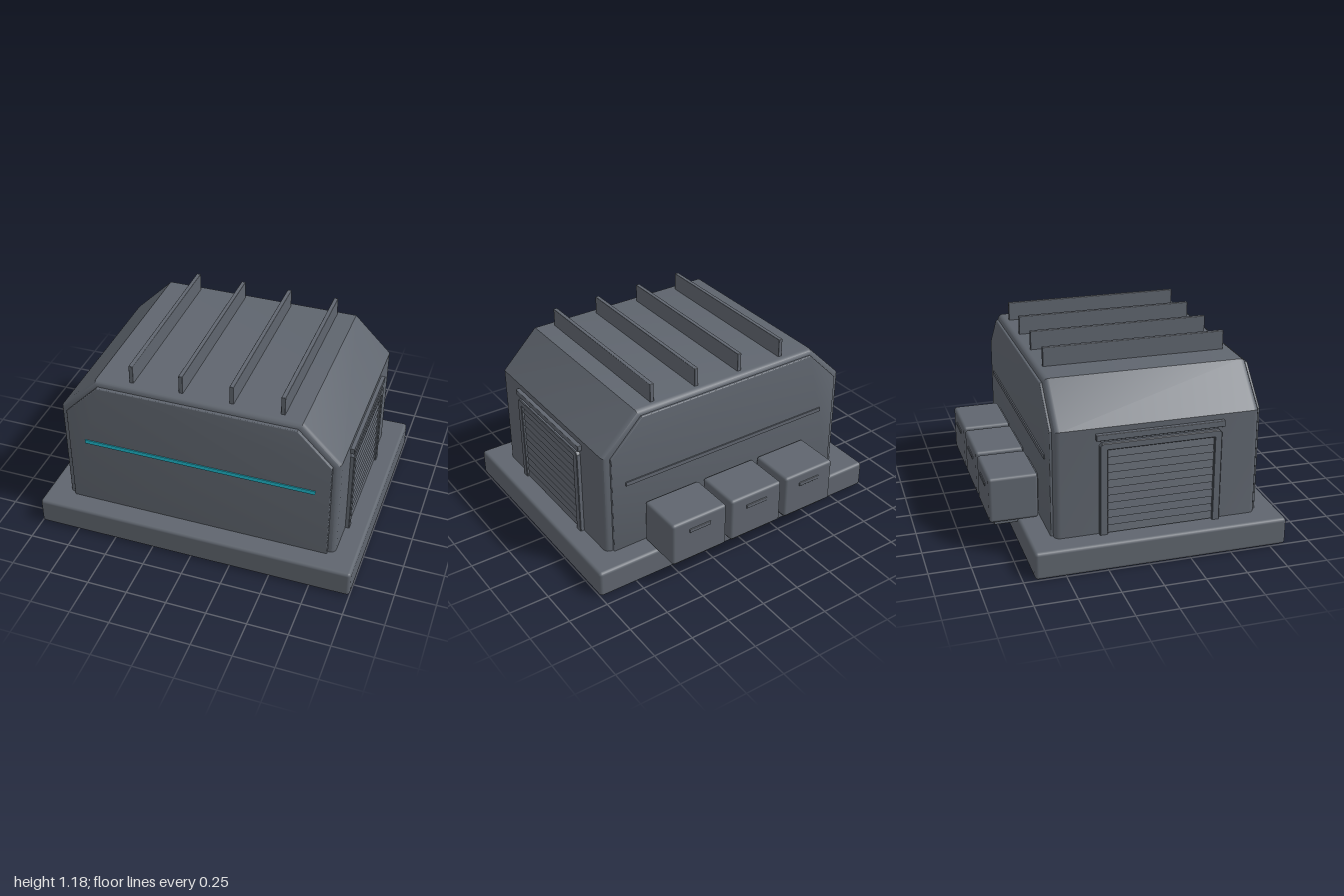
import * as THREE from 'three';
import { RoundedBoxGeometry } from 'three/addons/geometries/RoundedBoxGeometry.js';
import { toCreasedNormals } from 'three/addons/utils/BufferGeometryUtils.js';

export function createModel() {
  const model = new THREE.Group();
  model.name = 'storageBunker';
  const grey = new THREE.MeshStandardMaterial({ color: 0x5f656e });
  grey.name = 'slateGrey';
  const cyan = new THREE.MeshStandardMaterial({ color: 0x1fb8cc });
  cyan.name = 'cyanLight';

  function add(name, geometry, parent = model, material = grey) {
    const mesh = new THREE.Mesh(geometry, material);
    mesh.name = name;
    parent.add(mesh);
    return mesh;
  }
  // Box given by its limits on each axis, with optional rounded edges
  function block(name, [x0, x1], [y0, y1], [z0, z1], radius = 0, parent = model, material = grey) {
    const size = [x1 - x0, y1 - y0, z1 - z0];
    const geometry = radius
      ? new RoundedBoxGeometry(...size, 2, radius)
      : new THREE.BoxGeometry(...size);
    const mesh = add(name, geometry, parent, material);
    mesh.position.set((x0 + x1) / 2, (y0 + y1) / 2, (z0 + z1) / 2);
    return mesh;
  }
  // Wall outline with cut upper corners, extruded between two z values
  function hull(name, halfWidth, top, shoulder, halfRoof, z0, z1, bevel) {
    const shape = new THREE.Shape([
      [-halfWidth, 0.13], [halfWidth, 0.13], [halfWidth, shoulder],
      [halfRoof, top], [-halfRoof, top], [-halfWidth, shoulder],
    ].map(([x, y]) => new THREE.Vector2(x, y)));
    const geometry = new THREE.ExtrudeGeometry(shape, {
      depth: z1 - z0 - 2 * bevel, bevelSize: bevel, bevelThickness: bevel,
      bevelOffset: -bevel, bevelSegments: 4,
    });
    geometry.translate(0, 0, z0 + bevel);
    return add(name, toCreasedNormals(geometry, 0.6));
  }

  // Foundation slab, main shell and the raised end panels
  block('foundation', [-1, 1], [0, 0.17], [-0.68, 0.85], 0.02);
  hull('shell', 0.865, 1.065, 0.83, 0.63, -0.53, 0.7, 0.035);
  hull('frontPanel', 0.82, 1.035, 0.82, 0.61, 0.68, 0.72, 0.006);
  hull('backPanel', 0.82, 1.035, 0.82, 0.61, -0.545, -0.51, 0.006);

  // Light strip on the front, plain rib on the back
  block('lightStrip', [-0.71, 0.73], [0.61, 0.635], [0.718, 0.726], 0, model, cyan);
  block('backRib', [-0.71, 0.73], [0.61, 0.635], [-0.553, -0.54]);

  // Roof fins
  for (const x of [-0.42, -0.113, 0.195, 0.5]) {
    block('roofFin', [x - 0.013, x + 0.013], [1.05, 1.18], [-0.48, 0.635], 0.004);
  }

  // Shutter doors on both sides
  for (const side of [1, -1]) {
    const door = new THREE.Group();
    door.name = side > 0 ? 'leftShutterDoor' : 'rightShutterDoor';
    model.add(door);
    const span = (a, b) => (side > 0 ? [a, b] : [-b, -a]);
    block('header', span(0.85, 0.89), [0.76, 0.797], [-0.29, 0.48], 0.004, door);

    // Frame: an arch drawn in the z-y plane and turned to face sideways
    const arch = new THREE.Shape([
      [-0.27, 0.15], [-0.222, 0.15], [-0.222, 0.7], [0.418, 0.7], [0.418, 0.15],
      [0.463, 0.15], [0.463, 0.725], [0.448, 0.742], [-0.255, 0.742], [-0.27, 0.725],
    ].map(([z, y]) => new THREE.Vector2(-z, y)));
    const frame = add('doorFrame', new THREE.ExtrudeGeometry(arch, {
      depth: 0.032, bevelSize: 0.004, bevelThickness: 0.004, bevelOffset: -0.004, bevelSegments: 1,
    }), door);
    frame.rotation.y = Math.PI / 2;
    frame.position.x = side > 0 ? 0.854 : -0.886;

    // Tilted slats
    for (let i = 0; i < 11; i++) {
      const y = 0.197 + i * 0.0475;
      const slat = block('slat', span(0.858, 0.874), [y - 0.023, y + 0.023], [-0.225, 0.42], 0, door);
      slat.rotation.z = side * 0.22;
    }
  }

  // Lockers on the back, each with a foot and a handle
  for (const [x0, x1] of [[-0.57, -0.21], [-0.175, 0.195], [0.23, 0.61]]) {
    const locker = new THREE.Group();
    locker.name = 'locker';
    model.add(locker);
    const mid = (x0 + x1) / 2;
    block('lockerBody', [x0, x1], [0.17, 0.455], [-0.85, -0.555], 0.018, locker);
    block('lockerFoot', [x0 + 0.025, x1 - 0.025], [0.145, 0.18], [-0.82, -0.67], 0.004, locker);
    block('lockerMount', [x0 + 0.05, x1 - 0.05], [0.19, 0.43], [-0.57, -0.53], 0, locker);
    block('lockerHandle', [mid - 0.075, mid + 0.075], [0.365, 0.39], [-0.856, -0.845], 0.004, locker);
  }
  return model;
}
